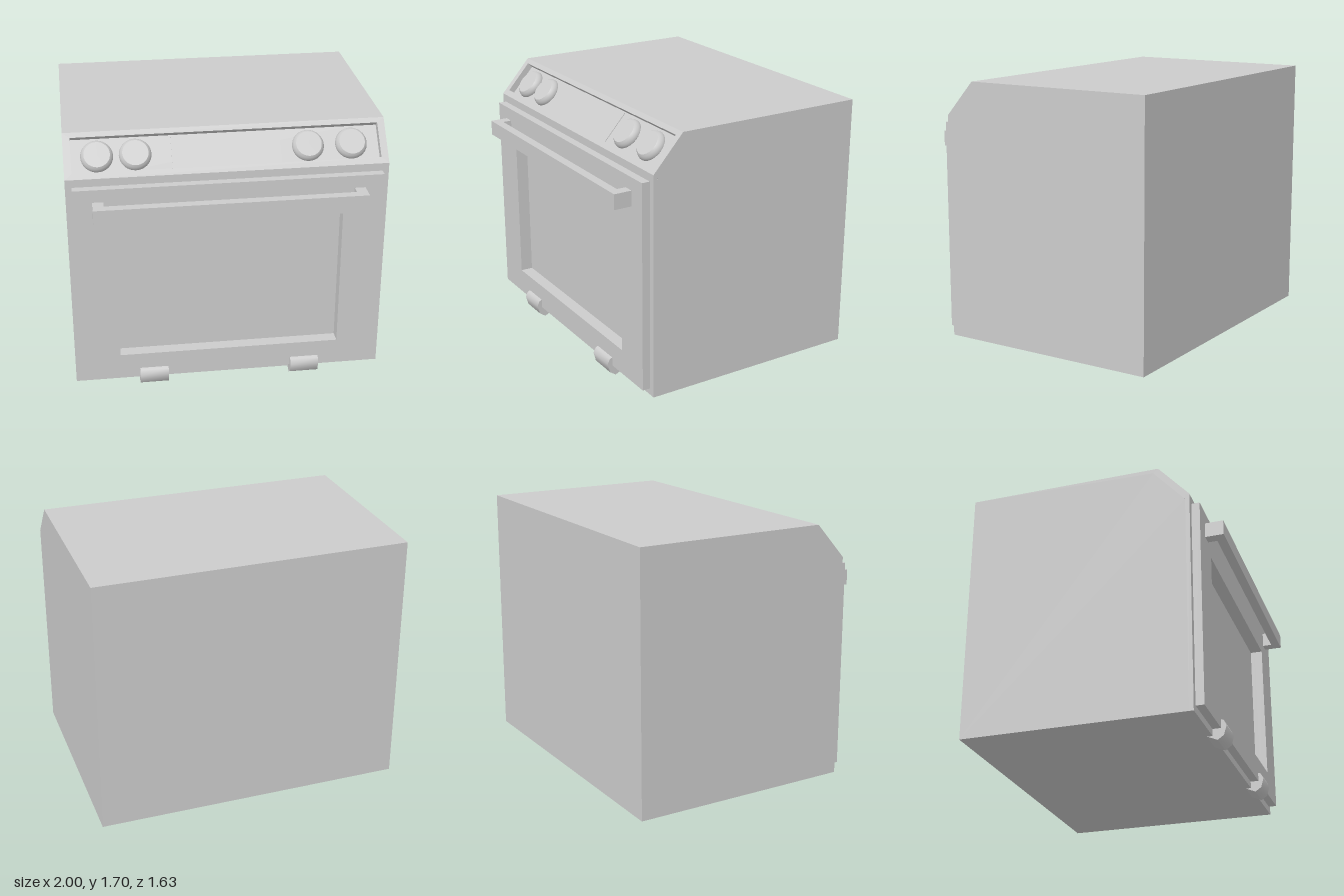
import * as THREE from 'three';
import { toCreasedNormals } from 'three/addons/utils/BufferGeometryUtils.js';

const material = new THREE.MeshStandardMaterial({ color: 0xcccccc });

function add(parent, name, geometry, x = 0, y = 0, z = 0) {
  const mesh = new THREE.Mesh(geometry, material);
  mesh.name = name;
  mesh.position.set(x, y, z);
  parent.add(mesh);
  return mesh;
}

const polygon = (points) => new THREE.Shape(points.map(([x, y]) => new THREE.Vector2(x, y)));
const rect = (x, y0, y1) => [[-x, y0], [x, y0], [x, y1], [-x, y1]];
const extrude = (shape, depth) => new THREE.ExtrudeGeometry(shape, { depth, bevelEnabled: false });

// Rectangular plate with a rectangular opening, extruded along z
function frame(outer, hole, depth) {
  const shape = polygon(outer);
  shape.holes.push(polygon(hole));
  return extrude(shape, depth);
}

// Side profile given as [z, y], extruded along x and centred on x = 0
function sideExtrude(points, width) {
  const g = extrude(polygon(points.map(([z, y]) => [-z, y])), width);
  return g.translate(0, 0, -width / 2).rotateY(Math.PI / 2);
}

export function createModel() {
  const model = new THREE.Group();
  model.name = 'oven';

  // Sloped control face runs from A (bottom) to B (top), given as [z, y]
  const A = [0.645, 1.475], B = [0.445, 1.7];
  const run = A[0] - B[0], rise = B[1] - A[1];
  const slope = Math.hypot(run, rise);
  const n = [rise / slope, run / slope];
  const panelDepth = 0.042, windowBack = 0.617;
  const inner = [B[0] - n[0] * panelDepth, B[1] - n[1] * panelDepth];
  const cornerY = inner[1] - (windowBack - inner[0]) * rise / -run - 2 * (windowBack - inner[0]) * rise / run;

  // Cabinet core, set back behind the window and the control recess
  add(model, 'cabinet', sideExtrude([
    [-0.812, 0.03], [-0.812, 1.7], B, inner, [windowBack, cornerY], [windowBack, 0.03],
  ], 2));

  // Cabinet front and door, sharing the window opening
  const opening = rect(0.71, 0.24, 1.17);
  add(model, 'cabinetFront', frame(rect(1, 0.03, A[1]), opening, A[0] - windowBack), 0, 0, windowBack);
  add(model, 'door', frame(rect(0.96, 0.075, 1.425), opening, 0.053), 0, 0, A[0]);

  // Control panel in its own tilted frame: local z points out of the slope
  const panel = new THREE.Group();
  panel.name = 'controlPanel';
  panel.position.set(0, (A[1] + B[1]) / 2, (A[0] + B[0]) / 2);
  panel.rotation.x = -Math.atan2(n[1], n[0]);
  model.add(panel);
  add(panel, 'controlFrame',
    frame(rect(1, -slope / 2, slope / 2), rect(0.955, -0.11, 0.117), panelDepth), 0, 0, -panelDepth);
  add(panel, 'display', new THREE.BoxGeometry(0.68, 0.215, 0.004), 0, 0.002, -panelDepth + 0.002);

  // Rounded knobs with a flat cap
  const knobProfile = [[0.09, 0], [0.099, 0.007], [0.1, 0.015], [0.097, 0.027], [0.09, 0.04], [0.08, 0.05], [0, 0.05]];
  const knob = toCreasedNormals(
    new THREE.LatheGeometry(knobProfile.map(([r, h]) => new THREE.Vector2(r, h)), 32).rotateX(Math.PI / 2), 0.6);
  for (const x of [-0.797, -0.563, 0.508, 0.78]) add(panel, 'knob', knob, x, 0, -panelDepth);

  // U-shaped door handle
  const handle = extrude(polygon([
    [-0.843, -0.69], [-0.843, -0.815], [0.843, -0.815], [0.843, -0.69],
    [0.775, -0.69], [0.775, -0.757], [-0.775, -0.757], [-0.775, -0.69],
  ]), 0.098).rotateX(-Math.PI / 2);
  add(model, 'handle', handle, 0, 1.245, 0);

  // Curled hinges under the door
  const hinge = toCreasedNormals(sideExtrude([
    [0.695, 0.133], [0.715, 0.125], [0.732, 0.09], [0.715, 0.03], [0.675, 0.002],
    [0.61, 0.03], [0.645, 0.075], [0.695, 0.075],
  ], 0.185), 0.9);
  for (const side of [-1, 1]) add(model, 'hinge', hinge, side * 0.494, 0, 0);

  return model;
}
